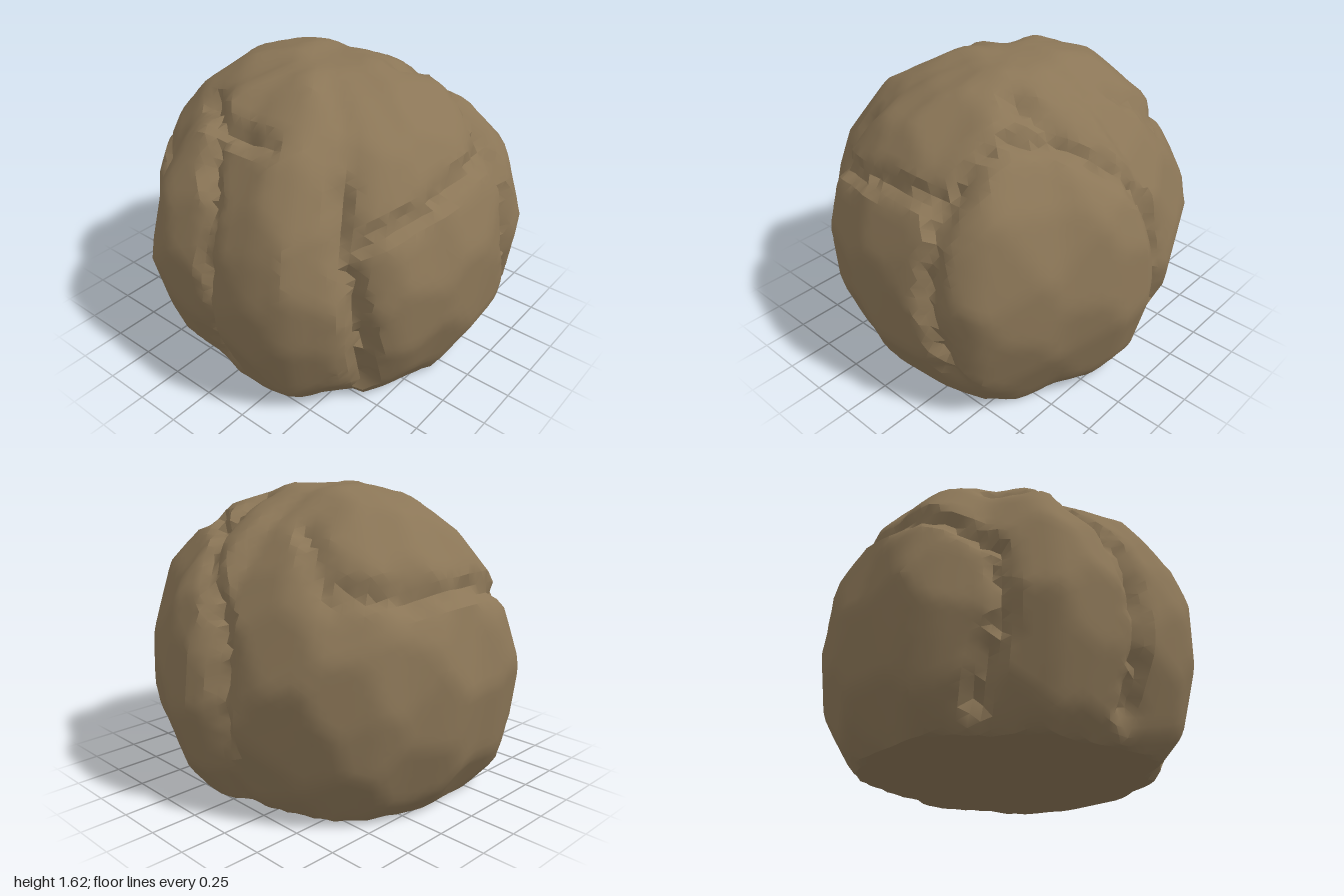
import * as THREE from 'three';
import { mergeVertices, toCreasedNormals } from 'three/addons/utils/BufferGeometryUtils.js';

const HEART = new THREE.Vector3(0, 0.62, 0); // middle of the round mass

// Seeded random numbers, so the rock is always the same
function makeRandom(seed) {
  let s = seed;
  return () => {
    s = (s * 16807) % 2147483647;
    return s / 2147483647;
  };
}

// Girth of the rock as [x, z] points, turned into [angle, radius]
const GIRTH = [
  [-1, -0.17], [-0.99, 0.1], [-0.97, 0.4], [-0.88, 0.52], [-0.7, 0.64], [-0.6, 0.77],
  [-0.45, 0.91], [-0.1, 0.95], [0.15, 0.99], [0.32, 0.99], [0.5, 0.93], [0.62, 0.8],
  [0.73, 0.65], [0.83, 0.58], [0.9, 0.48], [0.97, 0.25], [0.99, -0.3], [0.9, -0.61],
  [0.52, -0.85], [0.05, -1], [-0.1, -0.91], [-0.38, -0.87], [-0.6, -0.77],
  [-0.85, -0.55], [-0.92, -0.4],
].map(([x, z]) => [Math.atan2(z, x), Math.hypot(x, z)]).sort((a, b) => a[0] - b[0]);

function girthAt(angle) {
  const n = GIRTH.length;
  const turn = Math.PI * 2;
  let i = GIRTH.findIndex((g) => g[0] > angle);
  if (i < 0) i = n;
  const low = i > 0 ? GIRTH[i - 1] : [GIRTH[n - 1][0] - turn, GIRTH[n - 1][1]];
  const high = i < n ? GIRTH[i] : [GIRTH[0][0] + turn, GIRTH[0][1]];
  return THREE.MathUtils.mapLinear(angle, low[0], high[0], low[1], high[1]);
}

// Seams between the lobes: depth, then the points they run through
const SEAMS = [
  [0.07, [0.02, 0.1, 0.9], [0, 0.7, 0.95], [-0.03, 1.1, 0.85], [-0.15, 1.25, 0.75], [-0.17, 1.38, 0.62]],
  [0.06, [-0.5, 1.42, 0.42], [-0.17, 1.4, 0.62], [0.15, 1.38, 0.62]],
  [0.08, [-0.66, 0.1, 0.55], [-0.6, 0.5, 0.68], [-0.64, 0.85, 0.68], [-0.78, 1.05, 0.5]],
  [0.06, [-0.78, 1.05, 0.5], [-0.82, 1.14, 0.1], [-0.82, 1.15, -0.3], [-0.65, 1.2, -0.55]],
  [0.08, [0.74, 0.1, 0.58], [0.7, 0.6, 0.62], [0.62, 1, 0.65], [0.53, 1.25, 0.55]],
  [0.06, [0.62, 1, 0.65], [0.8, 1.1, 0.35], [0.83, 1.17, 0], [0.8, 1.2, -0.33]],
  [0.07, [0.85, 0.3, -0.4], [0.95, 0.7, -0.33], [0.8, 1.2, -0.33], [0.5, 1.42, -0.4], [0.27, 1.42, -0.6]],
  [0.06, [0.28, 1.55, -0.25], [0.27, 1.4, -0.65], [-0.1, 1, -0.88], [-0.15, 0.4, -0.87]],
  [0.04, [-0.3, 1.5, -0.5], [-0.42, 1.35, -0.55], [-0.6, 1.15, -0.6]],
].map(([depth, ...path]) => ({
  depth,
  path: path.map((p) => new THREE.Vector3(...p).sub(HEART).normalize()),
}));

// How deep the seams cut the surface in a direction
function seamDepth(dir) {
  const line = new THREE.Line3();
  const near = new THREE.Vector3();
  let cut = 0;
  for (const { depth, path } of SEAMS) {
    for (let i = 1; i < path.length; i++) {
      line.set(path[i - 1], path[i]).closestPointToPoint(dir, true, near);
      const gap = near.normalize().distanceTo(dir);
      cut = Math.max(cut, depth * (1 - gap / 0.085));
    }
  }
  return cut;
}

// Irregular set of flat faces that chip the round mass
function makeFacets(count) {
  const random = makeRandom(31);
  const facets = [];
  for (let i = 0; i < count; i++) {
    const y = 1 - (2 * (i + 0.5)) / count;
    const ring = Math.sqrt(1 - y * y);
    const jitter = () => (random() - 0.5) * 0.22;
    facets.push(new THREE.Vector3(
      Math.cos(i * 2.39996) * ring + jitter(), y + jitter(),
      Math.sin(i * 2.39996) * ring + jitter()).normalize());
  }
  return facets;
}

export function createModel() {
  const group = new THREE.Group();
  group.name = 'boulder';
  const stone = new THREE.MeshStandardMaterial({ color: 0x8b7657 });
  stone.name = 'brown stone';

  const ball = new THREE.IcosahedronGeometry(1, 20);
  ball.deleteAttribute('normal');
  ball.deleteAttribute('uv');
  const geometry = mergeVertices(ball, 1e-4);
  const position = geometry.attributes.position;
  const facets = makeFacets(120);
  const shoulder = new THREE.Vector3(-0.52, 0.93, -0.1).normalize();
  const random = makeRandom(77);
  const dir = new THREE.Vector3();

  for (let i = 0; i < position.count; i++) {
    dir.fromBufferAttribute(position, i).normalize();
    // chipped ball, swollen to the girth
    const chip = 0.982 / Math.max(...facets.map((f) => f.dot(dir)));
    const level = Math.hypot(dir.x, dir.z);
    let radius = chip * (1 + (girthAt(Math.atan2(dir.z, dir.x)) - 1) * level);
    // raised shoulder on the upper right
    radius += 0.05 * Math.exp(-((dir.distanceTo(shoulder) / 0.35) ** 2));
    // ragged seams
    radius -= seamDepth(dir) * (0.6 + random() * 0.7);
    dir.multiplyScalar(radius).add(HEART);
    // flat underside
    position.setXYZ(i, dir.x, Math.max(0, dir.y), dir.z);
  }

  const rock = new THREE.Mesh(toCreasedNormals(geometry, 0.5), stone);
  rock.name = 'rock';
  group.add(rock);
  return group;
}
